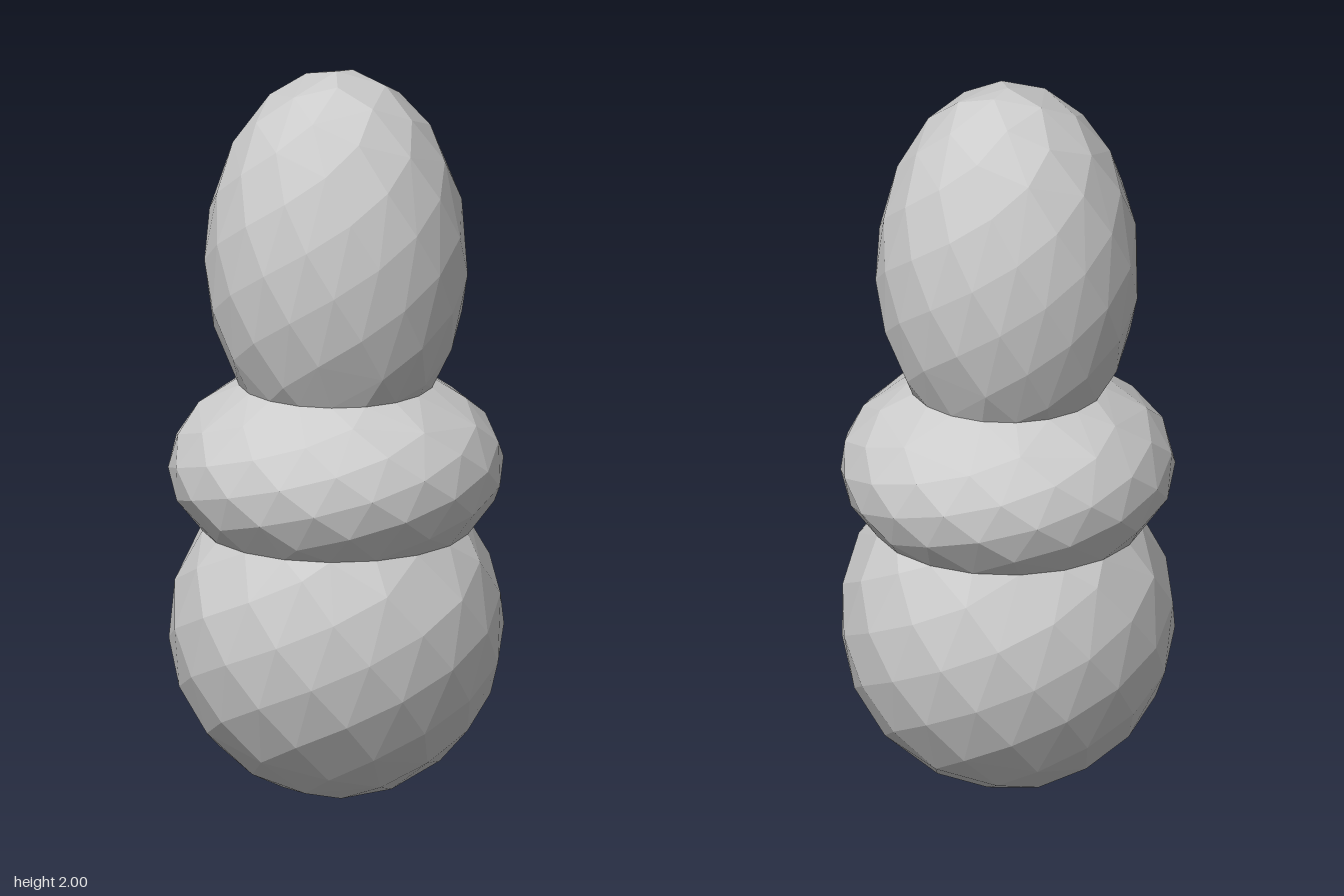
import * as THREE from 'three';
import { ConvexGeometry } from 'three/addons/geometries/ConvexGeometry.js';

// Planes where the stacked bodies meet: height and rim radius
const LOWER_SEAM = { y: 0.74, r: 0.36 };
const UPPER_SEAM = { y: 1.14, r: 0.262 };
const RIM_SIDES = 18;
const GOLDEN = Math.PI * (3 - Math.sqrt(5));

// Faceted ellipsoid from evenly spread points, cut flat at its seams
function facetedBody({ name, y, r, ry, count, spin, bottom, top }) {
  const points = [];
  const margin = 0.035;
  for (let i = 0; i < count; i++) {
    const t = 1 - (2 * i) / (count - 1);
    const ring = Math.sqrt(Math.max(0, 1 - t * t)) * r;
    const a = i * GOLDEN + spin;
    const py = y + t * ry;
    if (bottom && py < bottom.y + margin) continue;
    if (top && py > top.y - margin) continue;
    points.push(new THREE.Vector3(Math.cos(a) * ring, py, Math.sin(a) * ring));
  }
  for (const seam of [bottom, top]) {
    if (!seam) continue;
    for (let i = 0; i < RIM_SIDES; i++) {
      const a = (i / RIM_SIDES) * Math.PI * 2;
      points.push(new THREE.Vector3(Math.cos(a) * seam.r, seam.y, Math.sin(a) * seam.r));
    }
  }
  const material = new THREE.MeshStandardMaterial({ color: 0xcccccc, flatShading: true });
  const mesh = new THREE.Mesh(new ConvexGeometry(points), material);
  mesh.name = name;
  return mesh;
}

export function createModel() {
  const group = new THREE.Group();
  group.name = 'stackedFigure';
  group.add(
    // Round base
    facetedBody({ name: 'base', y: 0.47, r: 0.45, ry: 0.47, count: 112, spin: 0.4, top: LOWER_SEAM }),
    // Squashed middle
    facetedBody({ name: 'middle', y: 0.91, r: 0.45, ry: 0.283, count: 112, spin: 1.3, bottom: LOWER_SEAM, top: UPPER_SEAM }),
    // Tall egg-shaped head
    facetedBody({ name: 'head', y: 1.48, r: 0.353, ry: 0.52, count: 112, spin: 2.1, bottom: UPPER_SEAM })
  );
  return group;
}
